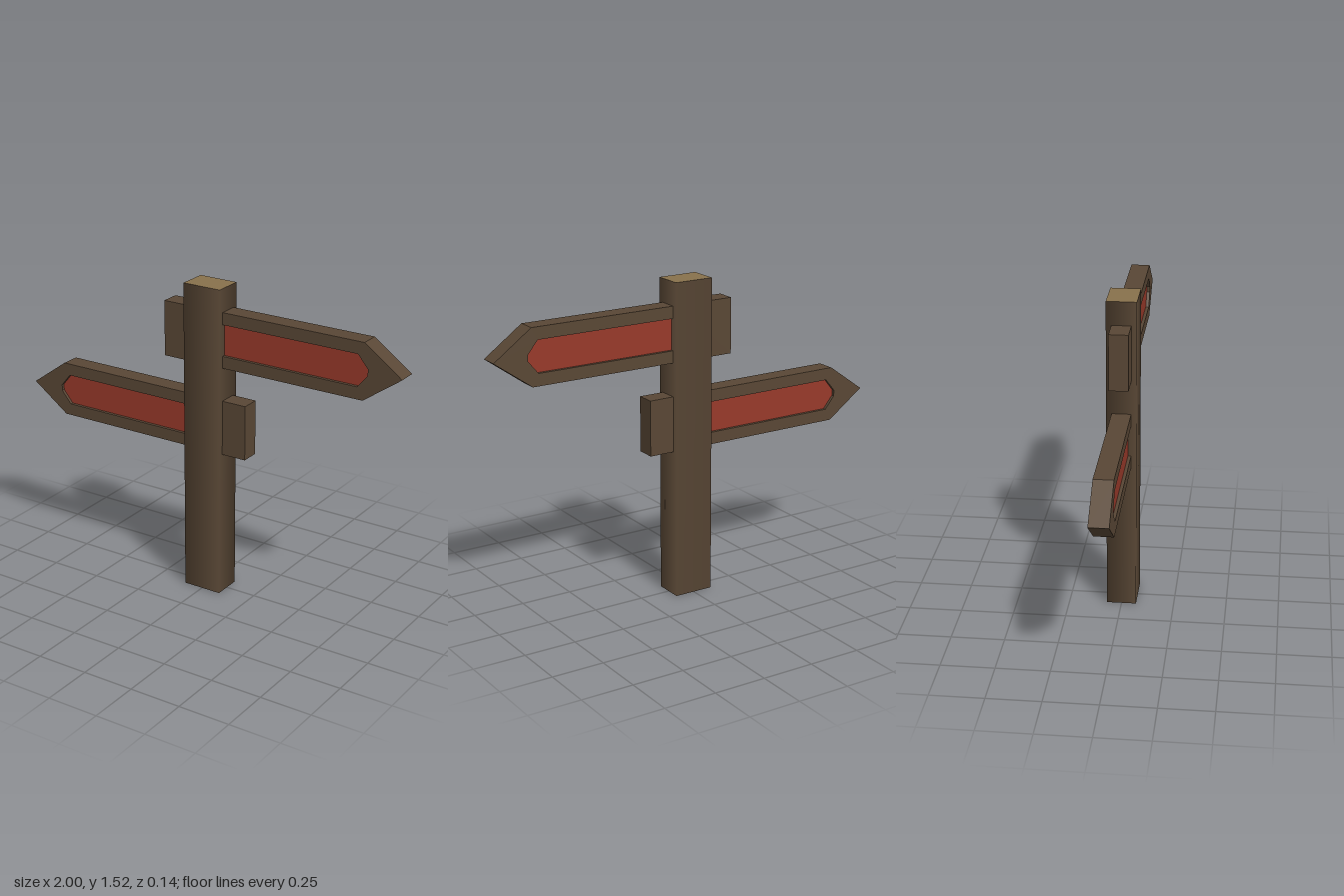
import * as THREE from 'three';

const wood = new THREE.MeshStandardMaterial({ color: 0x594735 });
wood.name = 'dark wood';
const cutWood = new THREE.MeshStandardMaterial({ color: 0x88714c });
cutWood.name = 'cut wood';
const red = new THREE.MeshStandardMaterial({ color: 0x98392a });
red.name = 'red paint';

const POST = { w: 0.194, h: 1.52, d: 0.14 };
const BOARD_DEPTH = 0.09;
const PANEL_DEPTH = 0.06;

// Outline of the recessed panel, pointed at the arrow end
const panelPoints = [[0, -0.075], [0.785, -0.075], [0.835, -0.015], [0.835, 0.015], [0.785, 0.075], [0, 0.075]];
const boardPoints = [[-0.22, -0.133], [0.815, -0.133], [1, 0], [0.815, 0.133], [-0.22, 0.133]];
const toVectors = (points) => points.map(([x, y]) => new THREE.Vector2(x, y));

function slab(shape, depth) {
  const geometry = new THREE.ExtrudeGeometry(shape, { depth, bevelEnabled: false });
  return geometry.translate(0, 0, -depth / 2);
}

// Arrow board with a red panel sunk into both faces
function createBoard(name, y, turn) {
  const group = new THREE.Group();
  group.name = name;

  const outline = new THREE.Shape(toVectors(boardPoints));
  outline.holes.push(new THREE.Path(toVectors(panelPoints)));
  const frame = new THREE.Mesh(slab(outline, BOARD_DEPTH), wood);
  frame.name = 'boardFrame';

  const panel = new THREE.Mesh(slab(new THREE.Shape(toVectors(panelPoints)), PANEL_DEPTH), red);
  panel.name = 'redPanel';

  group.add(frame, panel);
  group.position.y = y;
  group.rotation.y = turn;
  return group;
}

export function createModel() {
  const model = new THREE.Group();
  model.name = 'signpost';

  // Square post, softly shaded around its sides, with a pale cut top
  const postGeometry = new THREE.CylinderGeometry(Math.SQRT1_2, Math.SQRT1_2, POST.h, 4);
  postGeometry.rotateY(Math.PI / 4).scale(POST.w, 1, POST.d).translate(0, POST.h / 2, 0);
  const post = new THREE.Mesh(postGeometry, [wood, cutWood, wood]);
  post.name = 'post';

  model.add(
    post,
    createBoard('upperArrowBoard', 1.275, 0),
    createBoard('lowerArrowBoard', 0.849, Math.PI),
  );
  return model;
}
